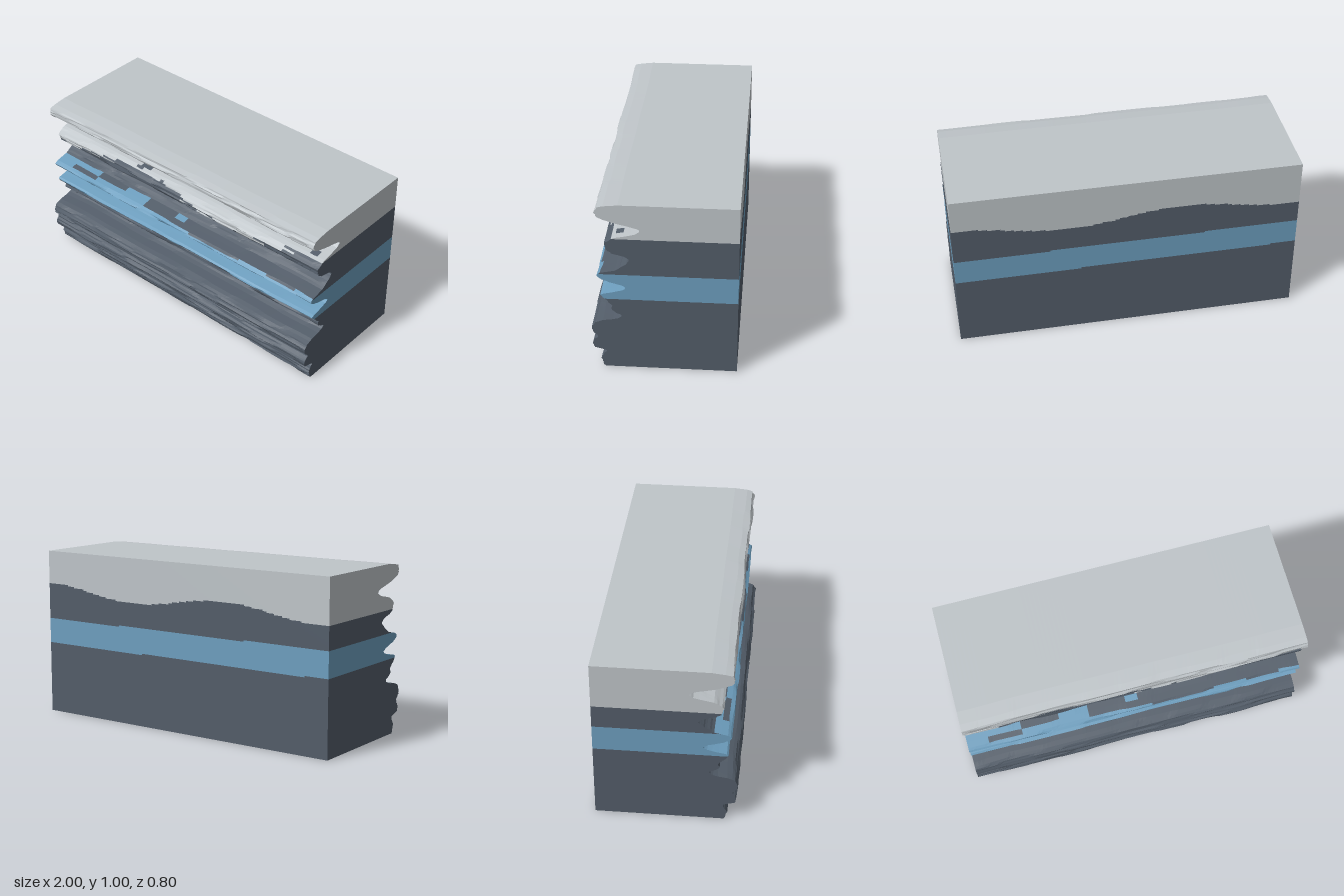
import * as THREE from 'three';

const NX = 80, NY = 125, BACK = -0.4;

// Weathered cliff outline as [height, depth]
const outline = [
  [0, .32], [.02, .335], [.05, .34], [.07, .335], [.095, .315], [.105, .325], [.12, .375], [.13, .388],
  [.155, .388], [.18, .37], [.195, .36], [.205, .375], [.225, .393], [.25, .393], [.28, .375], [.295, .34],
  [.303, .28], [.315, .245], [.335, .23], [.345, .26], [.37, .29], [.39, .28], [.41, .3], [.435, .325],
  [.455, .345], [.465, .325], [.48, .25], [.49, .21], [.505, .2], [.52, .23], [.54, .3], [.56, .345],
  [.575, .358], [.59, .345], [.6, .3], [.61, .25], [.63, .23], [.65, .2], [.67, .18], [.685, .19],
  [.7, .22], [.71, .27], [.73, .3], [.755, .31], [.775, .31], [.79, .29], [.805, .27], [.815, .22],
  [.83, .15], [.85, .12], [.865, .14], [.88, .2], [.895, .265], [.91, .31], [.93, .355], [.95, .363],
  [.97, .355], [.985, .35], [.993, .31], [1, .24],
];

// Repeatable random value in 0..1 for a lattice point
function hash(a, b) {
  const s = Math.sin(a * 127.1 + b * 311.7) * 43758.5453;
  return s - Math.floor(s);
}

// Noise along x that differs from row to row; sharp gives blocky patches
function streak(x, row, frequency, sharp) {
  const p = (x + 1) * frequency + hash(row, 7) * 10;
  const i = Math.floor(p);
  let t = p - i;
  t = sharp ? THREE.MathUtils.smoothstep(t, 0.35, 0.65) : t * t * (3 - 2 * t);
  return THREE.MathUtils.lerp(hash(i, row), hash(i + 1, row), t) * 2 - 1;
}

function outlineDepth(y) {
  let k = 1;
  while (k < outline.length - 1 && outline[k][0] < y) k++;
  const [y0, z0] = outline[k - 1], [y1, z1] = outline[k];
  return THREE.MathUtils.lerp(z0, z1, (y - y0) / (y1 - y0));
}

const xAt = i => -1 + 2 * i / NX;
const yAt = j => j / NY;

function frontDepth(i, j) {
  const x = xAt(i), y = yAt(j);
  const wave = streak(x, 1000 + Math.floor(j / 12), 4, false) * 0.004;
  const chips = j === NY ? 0 : streak(x, j, 5, true) * 0.0045;
  return Math.min(0.4, outlineDepth(y) + wave + chips);
}

// Stratum index: 0 pale cap, 1 dark rock, 2 blue seam
function stratum(x, y) {
  const capBase = 0.768 + 0.035 * Math.cos(2 * Math.PI * (x + 0.31) / 1.3);
  if (y > capBase) return 0;
  return y < 0.592 - 0.009 * x && y > 0.438 - 0.007 * x ? 2 : 1;
}

// Collects quads per stratum and turns them into one mesh with material groups
function makePart(name, materials, fill) {
  const buckets = [[], [], []];
  fill((s, a, b, c, d) => buckets[s].push(...a, ...b, ...c, ...a, ...c, ...d));
  const geometry = new THREE.BufferGeometry();
  geometry.setAttribute('position', new THREE.Float32BufferAttribute(buckets.flat(), 3));
  let start = 0;
  buckets.forEach((bucket, s) => {
    geometry.addGroup(start, bucket.length / 3, s);
    start += bucket.length / 3;
  });
  geometry.computeVertexNormals();
  const mesh = new THREE.Mesh(geometry, materials);
  mesh.name = name;
  return mesh;
}

export function createModel() {
  const group = new THREE.Group();
  group.name = 'layeredCliff';
  const materials = [['paleStone', 0xbfc5c9], ['darkStone', 0x535d69], ['blueSeam', 0x6d9ebe]].map(([name, color]) => {
    const material = new THREE.MeshStandardMaterial({ color });
    material.name = name;
    return material;
  });

  const depth = [];
  for (let i = 0; i <= NX; i++) {
    depth.push([]);
    for (let j = 0; j <= NY; j++) depth[i].push(frontDepth(i, j));
  }
  const front = (i, j) => [xAt(i), yAt(j), depth[i][j]];
  const back = (i, j) => [xAt(i), yAt(j), BACK];

  // Eroded face with chipped ledges and ragged colour borders
  group.add(makePart('erodedFace', materials, quad => {
    for (let i = 0; i < NX; i++) for (let j = 0; j < NY; j++) {
      const x = xAt(i + 0.5);
      const s = stratum(x, yAt(j + 0.5) + 0.014 * streak(x, j + 500, 5, true));
      quad(s, front(i, j), front(i + 1, j), front(i + 1, j + 1), front(i, j + 1));
    }
  }));

  // Flat cut at the back
  group.add(makePart('backCut', materials, quad => {
    for (let i = 0; i < NX; i++) for (let j = 0; j < NY; j++) {
      const s = stratum(xAt(i + 0.5), yAt(j + 0.5));
      quad(s, back(i + 1, j), back(i, j), back(i, j + 1), back(i + 1, j + 1));
    }
  }));

  // Flat cuts at both ends
  group.add(makePart('leftCut', materials, quad => {
    for (let j = 0; j < NY; j++)
      quad(stratum(1, yAt(j + 0.5)), front(NX, j), back(NX, j), back(NX, j + 1), front(NX, j + 1));
  }));
  group.add(makePart('rightCut', materials, quad => {
    for (let j = 0; j < NY; j++)
      quad(stratum(-1, yAt(j + 0.5)), back(0, j), front(0, j), front(0, j + 1), back(0, j + 1));
  }));

  // Top surface and underside
  group.add(makePart('topSurface', materials, quad => {
    for (let i = 0; i < NX; i++)
      quad(0, front(i, NY), front(i + 1, NY), back(i + 1, NY), back(i, NY));
  }));
  group.add(makePart('underside', materials, quad => {
    for (let i = 0; i < NX; i++)
      quad(1, back(i, 0), back(i + 1, 0), front(i + 1, 0), front(i, 0));
  }));

  return group;
}
